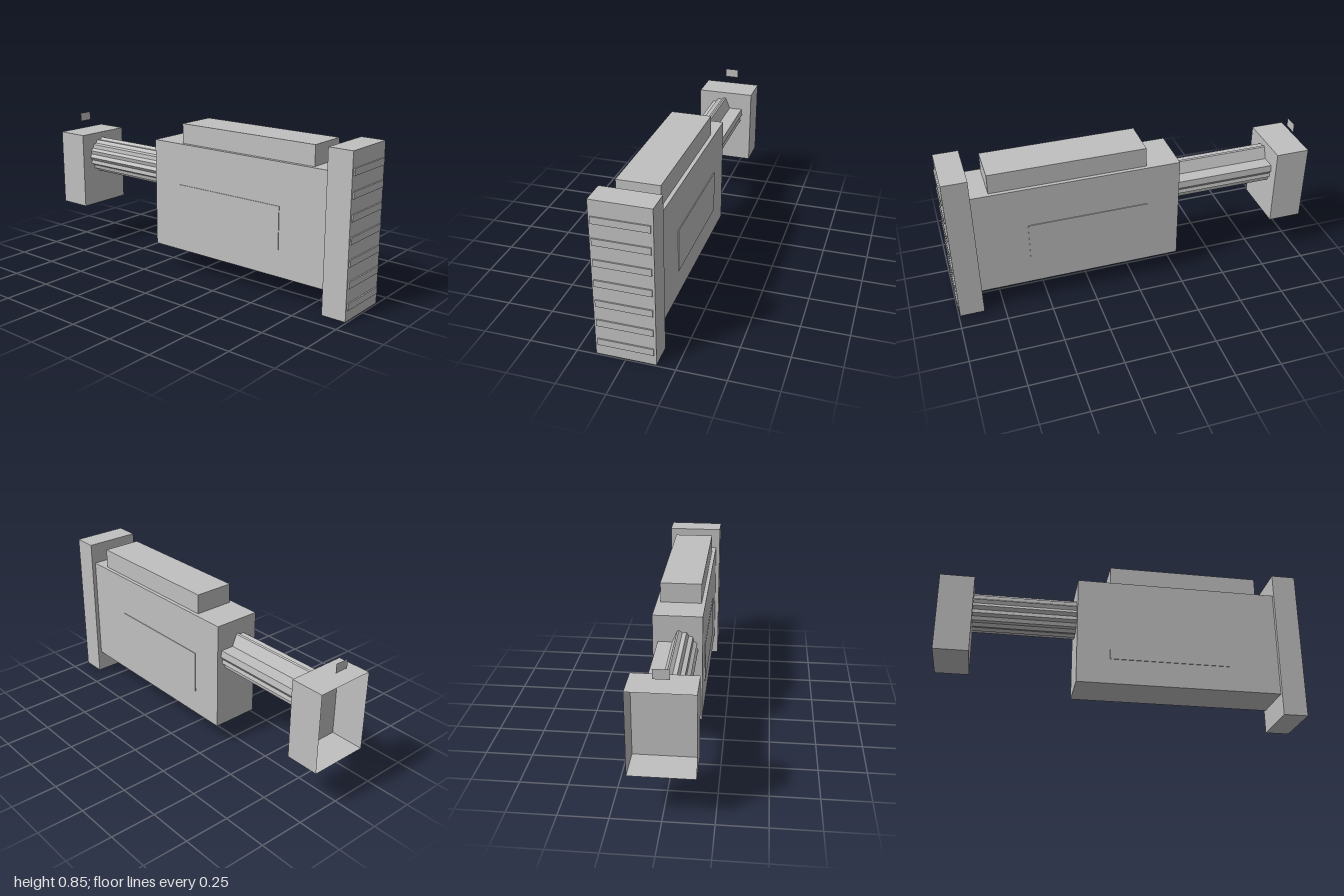
import * as THREE from 'three';

export function createModel() {
  const model = new THREE.Group();
  const grey = new THREE.MeshStandardMaterial({ color: 0xc0c0c0, flatShading: true, side: THREE.DoubleSide });
  grey.name = 'plain grey';

  const add = (name, geometry) => {
    const mesh = new THREE.Mesh(geometry, grey);
    mesh.name = name;
    model.add(mesh);
    return mesh;
  };
  // Box given by its limits on each axis
  const box = (name, x0, x1, y0, y1, z0, z1) => {
    const mesh = add(name, new THREE.BoxGeometry(x1 - x0, y1 - y0, z1 - z0));
    mesh.position.set((x0 + x1) / 2, (y0 + y1) / 2, (z0 + z1) / 2);
    return mesh;
  };

  // Main body with its top rail and front plate
  box('body', -0.131, 0.131, 0.125, 0.727, -0.255, 0.86);
  box('topRail', -0.11, 0.11, 0.727, 0.835, -0.073, 0.764);
  box('frontPlate', -0.153, 0.153, 0, 0.845, 0.86, 0.993);

  // Raised grip bars on the front plate
  for (let i = 0; i < 7; i++) {
    const y = 0.076 + i * 0.1113;
    box('gripBar', -0.142, 0.142, y - 0.018, y + 0.018, 0.993, 1);
  }

  // Thin raised panels on both sides of the body
  for (const side of [-1, 1]) {
    const panel = box('sidePanel', -0.002, 0.002, 0.265, 0.5, -0.075, 0.58);
    panel.position.x = side * 0.133;
  }

  // Fluted stem with a notch cut from its upper left
  const section = new THREE.Shape();
  section.moveTo(0.002, 0.643);
  section.lineTo(0.028, 0.58);
  section.lineTo(0.104, 0.58);
  const steps = 24;
  for (let i = 0; i <= steps; i++) {
    const a = -(i / steps) * Math.PI * 1.48;
    const r = i % 2 ? 0.097 : 0.108;
    section.lineTo(r * Math.cos(a), 0.543 + r * 0.97 * Math.sin(a));
  }
  section.closePath();
  const stem = add('flutedStem', new THREE.ExtrudeGeometry(section, { depth: 0.56, bevelEnabled: false }));
  stem.position.z = -0.815;

  // Hollow rear block: four thin walls and a front wall, open at the back
  const wall = (name, w, h, x, y, z, rx, ry) => {
    const mesh = add(name, new THREE.PlaneGeometry(w, h));
    mesh.position.set(x, y, z);
    mesh.rotation.set(rx, ry, 0);
  };
  const q = Math.PI / 2;
  wall('rearBlockFront', 0.324, 0.435, 0, 0.4625, -0.815, 0, 0);
  for (const s of [-1, 1]) {
    wall('rearBlockSide', 0.185, 0.435, s * 0.162, 0.4625, -0.9075, 0, s * q);
    wall('rearBlockCap', 0.324, 0.185, 0, 0.4625 + s * 0.2175, -0.9075, -s * q, 0);
  }

  // Small sight tab above the rear block
  wall('sightTab', 0.078, 0.05, 0, 0.756, -0.965, 0, 0);

  return model;
}
